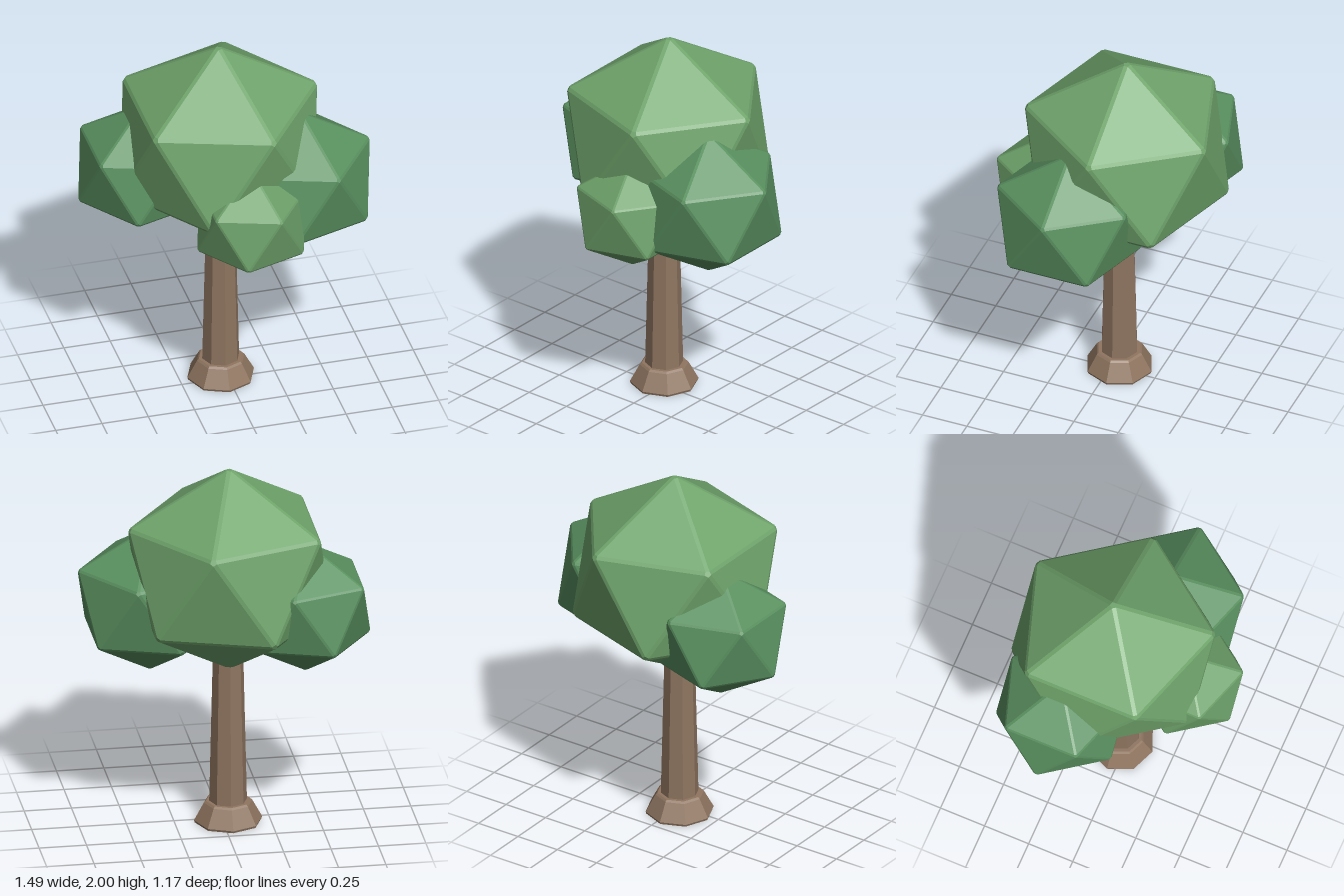
import * as THREE from 'three';
import { ConvexGeometry } from 'three/addons/geometries/ConvexGeometry.js';

// Slightly squashed icosahedron standing on a corner, with narrow chamfers.
// Its two five-cornered rings have the given radius.
function foliageGeometry(radius, chamfer = 0.065, squash = 0.95) {
  const r = radius * (1 + 0.2 * chamfer);
  const apex = r * 1.118 * squash;
  const ring = (y, offset) => Array.from({ length: 5 }, (_, i) => {
    const a = ((i + offset) * Math.PI * 2) / 5;
    return new THREE.Vector3(r * Math.cos(a), y, r * Math.sin(a));
  });
  const upper = ring(r * 0.5 * squash, 0);
  const lower = ring(-r * 0.5 * squash, 0.5);
  const top = new THREE.Vector3(0, apex, 0);
  const bottom = new THREE.Vector3(0, -apex, 0);

  const faces = [];
  for (let i = 0; i < 5; i++) {
    const j = (i + 1) % 5;
    faces.push([top, upper[i], upper[j]], [upper[i], upper[j], lower[i]],
      [lower[i], lower[j], upper[j]], [bottom, lower[i], lower[j]]);
  }
  // Shrink every face a little; the hull fills the gaps with chamfers
  const points = [];
  for (const face of faces) {
    const centre = new THREE.Vector3();
    face.forEach((p) => centre.addScaledVector(p, 1 / 3));
    face.forEach((p) => points.push(p.clone().lerp(centre, chamfer)));
  }
  return new ConvexGeometry(points);
}

// Eight-sided turned part from [radius, height] pairs, bottom to top
function turned(profile) {
  return new THREE.LatheGeometry(profile.map(([r, y]) => new THREE.Vector2(r, y)), 8);
}

export function createModel() {
  const tree = new THREE.Group();
  tree.name = 'tree';

  const add = (name, geometry, color, x, y, z) => {
    const material = new THREE.MeshStandardMaterial({ color, flatShading: true });
    const mesh = new THREE.Mesh(geometry, material);
    mesh.name = name;
    mesh.position.set(x, y, z);
    tree.add(mesh);
  };

  // Trunk and its flared foot
  const bark = 0x8f7560;
  add('trunkFoot', turned([[0, 0], [0.176, 0], [0.18, 0.012], [0.128, 0.108], [0.118, 0.118], [0, 0.118]]),
    bark, -0.03, 0, -0.038);
  add('trunk', turned([[0, 0.1], [0.1, 0.1], [0.079, 1.0], [0, 1.0]]), bark, -0.03, 0, -0.038);

  // Crown: one large clump with three smaller ones around it
  add('mainFoliage', foliageGeometry(0.53), 0x70a56c, -0.03, 1.443, -0.08);
  add('leftFoliage', foliageGeometry(0.376), 0x5a9160, 0.365, 1.235, 0.08);
  add('rightFoliage', foliageGeometry(0.34), 0x5a9160, -0.41, 1.26, -0.21);
  add('frontFoliage', foliageGeometry(0.29), 0x6b9f68, 0.04, 1.165, 0.31);

  return tree;
}
